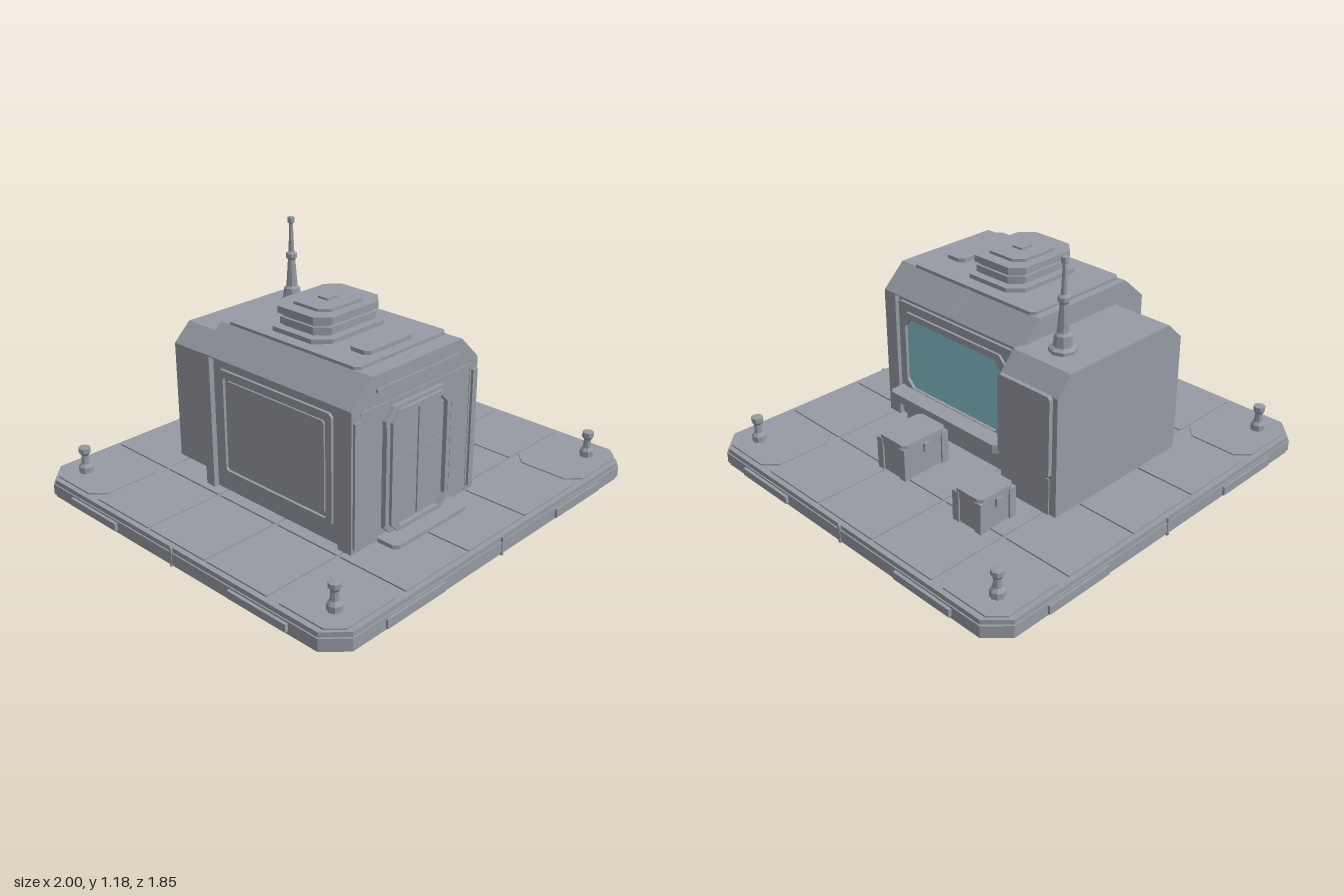
import * as THREE from 'three';

export function createModel() {
  const model = new THREE.Group();
  const grey = new THREE.MeshStandardMaterial({ color: 0x969ba3, flatShading: true });
  grey.name = 'panel grey';
  const glass = new THREE.MeshStandardMaterial({ color: 0x86c2d2 });
  glass.name = 'window blue';

  const add = (name, geo, x = 0, y = 0, z = 0, mat = grey, parent = model) => {
    const m = new THREE.Mesh(geo, mat);
    m.name = name;
    m.position.set(x, y, z);
    parent.add(m);
    return m;
  };
  // box given by its limits
  const box = (name, x0, x1, y0, y1, z0, z1, parent = model) =>
    add(name, new THREE.BoxGeometry(x1 - x0, y1 - y0, z1 - z0),
      (x0 + x1) / 2, (y0 + y1) / 2, (z0 + z1) / 2, grey, parent);
  // rectangle with cut corners
  const outline = (w, h, c, P = THREE.Shape, dx = 0, dy = 0) => {
    const a = w / 2, b = h / 2;
    return new P([[-a + c, -b], [a - c, -b], [a, -b + c], [a, b - c], [a - c, b], [-a + c, b], [-a, b - c], [-a, -b + c]]
      .map(([x, y]) => new THREE.Vector2(x + dx, y + dy)));
  };
  // cut-corner plate growing along +x, +y or +z, with an optional opening
  const plateGeo = (axis, w, h, c, t, hole) => {
    const s = outline(w, h, c);
    if (hole) s.holes.push(outline(hole[0], hole[1], hole[2], THREE.Path, 0, hole[3] || 0));
    const g = new THREE.ExtrudeGeometry(s, { depth: t, bevelEnabled: false });
    if (axis === 'y') g.rotateX(-Math.PI / 2);
    if (axis === 'x') g.rotateY(Math.PI / 2);
    return g;
  };
  const prism = (pts, z0, z1) => {
    const g = new THREE.ExtrudeGeometry(new THREE.Shape(pts.map(p => new THREE.Vector2(...p))), { depth: z1 - z0, bevelEnabled: false });
    return g.translate(0, 0, z0);
  };
  const turned = (pts, sides) => new THREE.LatheGeometry(pts.map(p => new THREE.Vector2(...p)), sides);

  // platform
  add('platformFoot', plateGeo('y', 1.87, 1.74, 0.09, 0.04));
  add('platformDeck', plateGeo('y', 1.96, 1.82, 0.09, 0.085), 0, 0.035, 0);
  add('platformRim', plateGeo('y', 1.972, 1.832, 0.09, 0.05), 0, 0.048, 0);
  // floor tiles
  const n = 5, tw = 1.92 / n, td = 1.78 / n;
  for (let i = 0; i < n; i++) for (let j = 0; j < n; j++) {
    const corner = (i === 0 || i === n - 1) && (j === 0 || j === n - 1);
    add('floorTile', plateGeo('y', tw - 0.008, td - 0.008, corner ? 0.06 : 0.004, 0.007),
      (i - 2) * tw, 0.12, (j - 2) * td);
  }
  // panels and seams on the platform edge
  for (const s of [-1, 1]) {
    for (const k of [-1, 1]) {
      box('edgePanel', k * 0.55 - 0.17, k * 0.55 + 0.17, 0.05, 0.09, s * 0.915 - 0.012, s * 0.915 + 0.012);
      box('sidePanel', s * 0.985 - 0.015, s * 0.985 + 0.015, 0.055, 0.09, k * 0.515 - 0.16, k * 0.515 + 0.16);
    }
    box('edgeSeam', -0.006, 0.006, 0.035, 0.12, s * 0.912 - 0.008, s * 0.912 + 0.008);
    box('sideSeam', s * 0.981 - 0.008, s * 0.981 + 0.008, 0.035, 0.12, -0.006, 0.006);
  }
  // corner posts
  for (const x of [-0.843, 0.843]) for (const z of [-0.775, 0.775])
    add('cornerPost', turned([[0, 0], [0.032, 0], [0.032, 0.03], [0.019, 0.045], [0.017, 0.085], [0.027, 0.1], [0.027, 0.122], [0, 0.126]], 8), x, 0.125, z);

  // main cabin
  const L = -0.54, R = 0.235, C = (L + R) / 2;
  add('cabin', prism([[L + 0.025, 0.12], [R - 0.025, 0.12], [R - 0.025, 0.735], [R, 0.745], [R, 0.75], [R - 0.11, 0.857],
    [L + 0.12, 0.857], [L, 0.75], [L, 0.745], [L + 0.025, 0.735]], -0.295, 0.57));
  for (const [x0, x1] of [[L, L + 0.05], [R - 0.05, R]]) {
    box('frontPillar', x0, x1, 0.125, 0.745, 0.5, 0.572);
    box('pillarFace', x0 + 0.01, x1 - 0.01, 0.15, 0.7, 0.57, 0.583);
    box('backPillar', x0, x1, 0.125, 0.745, -0.295, -0.245);
  }
  box('frontBeam', L + 0.05, R - 0.05, 0.715, 0.73, 0.565, 0.576);
  box('upperBeam', L + 0.14, R - 0.13, 0.785, 0.8, 0.565, 0.578);
  // ribs over the roof slopes
  for (const s of [-1, 1]) {
    const rib = box('roofRib', -0.074, 0.074, -0.004, 0.004, -0.011, 0.011);
    rib.position.set(s < 0 ? L + 0.06 : R - 0.055, 0.805, 0.12);
    rib.rotation.z = -s * Math.atan2(0.107, 0.115);
  }

  // double door with frame and step
  const door = new THREE.Group();
  door.name = 'door';
  door.position.set(-0.155, 0.415, 0.57);
  model.add(door);
  add('doorFrame', plateGeo('z', 0.41, 0.575, 0.05, 0.02, [0.34, 0.525, 0.045]), 0, 0, 0, grey, door);
  add('doorInnerFrame', plateGeo('z', 0.36, 0.545, 0.045, 0.034, [0.315, 0.505, 0.04]), 0, 0, 0, grey, door);
  for (const s of [-1, 1]) {
    box('doorLeaf', s * 0.081 - 0.077, s * 0.081 + 0.077, -0.255, 0.255, -0.005, 0.013, door);
    box('doorRail', s * 0.081 - 0.06, s * 0.081 + 0.06, 0.054, 0.059, 0.012, 0.016, door);
    box('doorSideTrim', s * 0.2 - 0.008, s * 0.2 + 0.008, -0.22, 0.22, 0.018, 0.026, door);
  }
  add('doorStep', plateGeo('y', 0.47, 0.12, 0.02, 0.02), -0.155, 0.125, 0.62);

  // window with frame and bench
  add('wallFrame', plateGeo('x', 0.73, 0.58, 0.01, 0.014, [0.66, 0.40, 0.05, 0.045]), R - 0.025, 0.43, 0.125);
  add('windowFrame', plateGeo('x', 0.69, 0.41, 0.05, 0.026, [0.615, 0.35, 0.04]), R - 0.025, 0.476, 0.13);
  add('windowPane', plateGeo('x', 0.62, 0.355, 0.042, 0.008), R - 0.022, 0.476, 0.13, glass);
  add('bench', plateGeo('y', 0.11, 0.7, 0.02, 0.04), R + 0.03, 0.258, 0.12);
  box('benchBase', R - 0.03, R + 0.01, 0.13, 0.26, -0.2, 0.44);
  // left wall panel
  add('leftPanelFrame', plateGeo('x', 0.66, 0.5, 0.015, 0.014, [0.6, 0.44, 0.01]), L + 0.012, 0.45, 0.125);
  add('leftPanel', plateGeo('x', 0.57, 0.41, 0.01, 0.01), L + 0.017, 0.45, 0.125);

  // rear module
  add('rearModule', prism([[-0.44, 0.12], [0.337, 0.12], [0.337, 0.683], [0.262, 0.765], [-0.353, 0.765], [-0.44, 0.683]], -0.595, -0.28));
  add('rearSidePanel', plateGeo('x', 0.29, 0.375, 0.012, 0.02), 0.337, 0.5, -0.425);
  box('rearSideSill', 0.33, 0.343, 0.125, 0.3, -0.56, -0.29);

  // roof plate, vent and stacked hatch
  add('roofPlate', plateGeo('y', 0.55, 0.75, 0.02, 0.015), -0.145, 0.855, 0.115);
  add('roofVent', plateGeo('y', 0.285, 0.11, 0.02, 0.02), -0.163, 0.868, 0.385);
  const tiers = [ // width, depth, corner, bottom, thickness
    [0.43, 0.345, 0.06, 0.868, 0.022], [0.35, 0.27, 0.045, 0.888, 0.06], [0.375, 0.3, 0.055, 0.9, 0.03],
    [0.385, 0.315, 0.055, 0.945, 0.03], [0.267, 0.22, 0.04, 0.974, 0.014], [0.07, 0.06, 0.005, 0.987, 0.01]];
  for (const [w, d, c, y, t] of tiers) add('roofHatch', plateGeo('y', w, d, c, t), -0.152, y, 0.078);

  // antenna mast
  add('antenna', turned([[0, 0], [0.06, 0], [0.06, 0.015], [0.042, 0.025], [0.037, 0.075], [0.026, 0.085], [0.017, 0.21],
    [0.026, 0.22], [0.026, 0.24], [0.013, 0.25], [0.009, 0.38], [0.016, 0.385], [0.016, 0.41], [0, 0.415]], 8), 0.134, 0.765, -0.433);

  // crates with lids, corner posts and latches
  const crate = (x, z, w, h, d) => {
    const g = new THREE.Group();
    g.name = 'crate';
    g.position.set(x, 0.127, z);
    model.add(g);
    add('crateBody', plateGeo('y', w - 0.016, d - 0.016, 0.012, h * 0.72), 0, 0, 0, grey, g);
    add('crateLid', plateGeo('y', w - 0.008, d - 0.008, 0.018, h * 0.26), 0, h * 0.74, 0, grey, g);
    for (const s of [-1, 1]) {
      for (const k of [-1, 1])
        box('crateCorner', s * (w / 2 - 0.018) - 0.018, s * (w / 2 - 0.018) + 0.018, 0, h * 0.9,
          k * (d / 2 - 0.018) - 0.018, k * (d / 2 - 0.018) + 0.018, g);
      box('crateLatch', -0.015, 0.015, h * 0.6, h * 0.85, s * d / 2 - 0.008, s * d / 2 + 0.004, g);
    }
  };
  crate(0.474, 0.128, 0.25, 0.172, 0.18);
  crate(0.533, -0.382, 0.2, 0.158, 0.165);

  return model;
}
